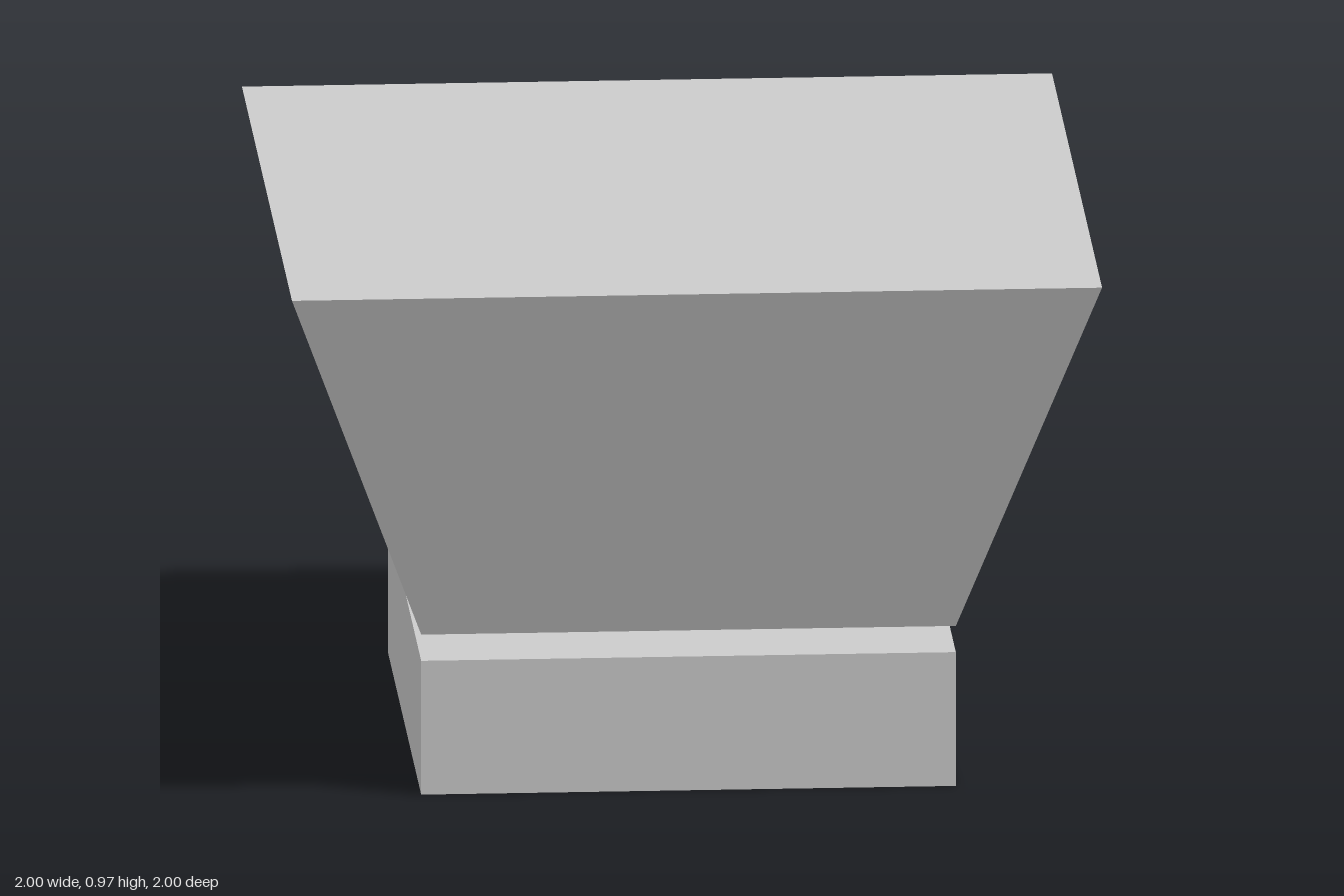
import * as THREE from 'three';

const TWIST = Math.atan2(0.165, 1); // turn of the square plan about y
const INNER = 0.66 / Math.cos(TWIST); // corner radius of the base
const OUTER = 1 / Math.cos(TWIST); // corner radius of the rim

// Four-sided block between two heights
function squareBlock(name, topRadius, bottomRadius, y0, y1) {
  const geometry = new THREE.CylinderGeometry(topRadius, bottomRadius, y1 - y0, 4);
  geometry.rotateY(TWIST);
  geometry.translate(0, (y0 + y1) / 2, 0);
  const material = new THREE.MeshStandardMaterial({ color: 0xcccccc, flatShading: true });
  const mesh = new THREE.Mesh(geometry, material);
  mesh.name = name;
  return mesh;
}

export function createModel() {
  const model = new THREE.Group();
  model.name = 'flaredPedestal';
  // Straight base slab, then the flared block floating just above it
  model.add(squareBlock('base', INNER, INNER, 0, 0.245));
  model.add(squareBlock('flaredTop', OUTER, INNER, 0.293, 0.975));
  return model;
}
